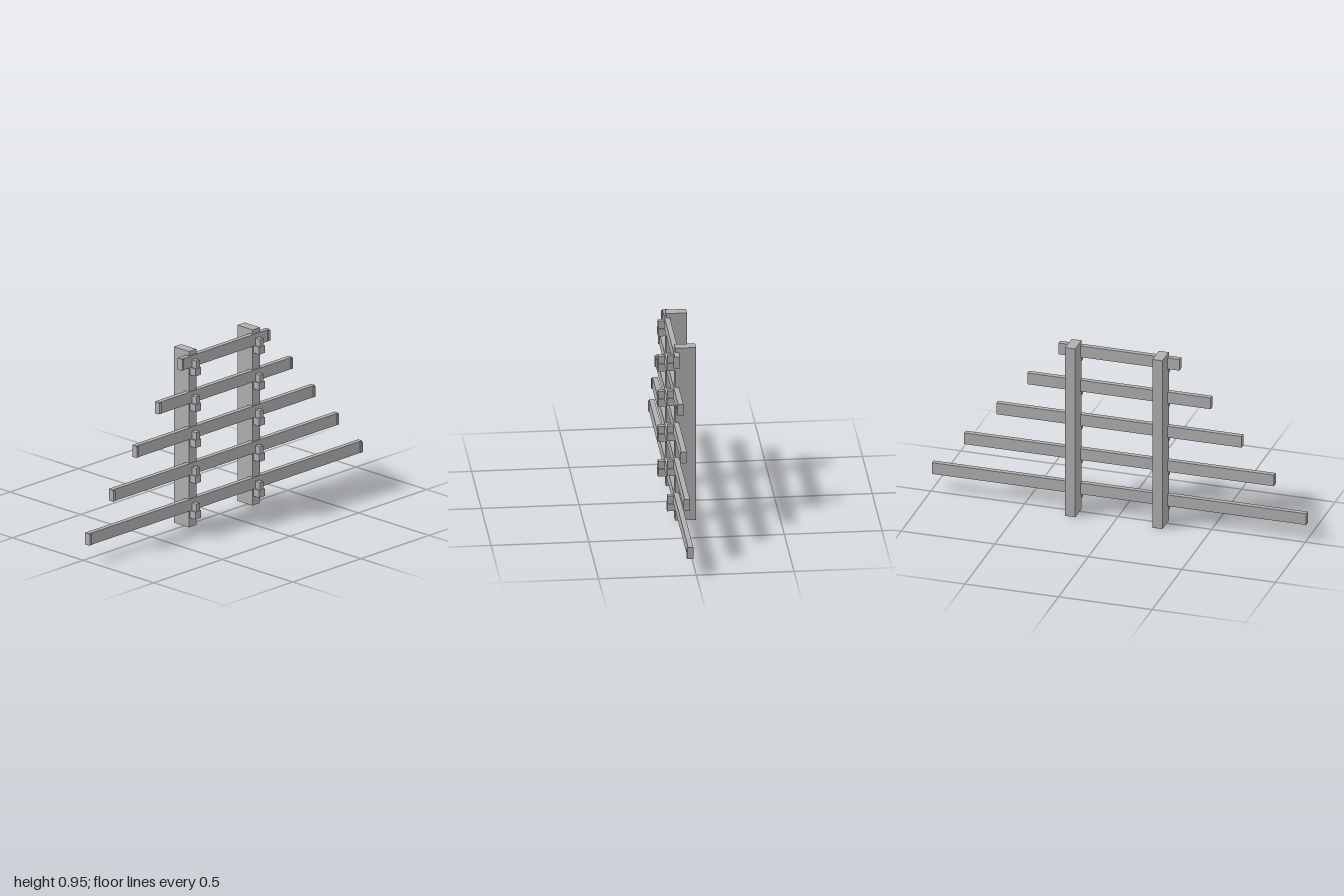
import * as THREE from 'three';

export function createModel() {
  const root = new THREE.Group();
  const grey = new THREE.MeshStandardMaterial({ color: 0xb0b0b0 });
  grey.name = 'plain grey';

  // Box given by its minimum and maximum on each axis
  const box = (name, x0, x1, y0, y1, z0, z1) => {
    const mesh = new THREE.Mesh(new THREE.BoxGeometry(x1 - x0, y1 - y0, z1 - z0), grey);
    mesh.position.set((x0 + x1) / 2, (y0 + y1) / 2, (z0 + z1) / 2);
    mesh.name = name;
    root.add(mesh);
    return mesh;
  };

  const postX = 0.233;
  const halfLengths = [1, 0.827, 0.655, 0.49, 0.323];

  // Two uprights
  for (const side of [-1, 1]) {
    const x = side * postX;
    box('post', x - 0.027, x + 0.027, 0, 0.948, -0.073, 0.035);
  }

  // Crossbars, shorter towards the top
  halfLengths.forEach((half, i) => {
    const y = 0.09 + i * 0.193;
    box('crossbar', -half, half, y, y + 0.063, 0.015, 0.042);

    for (const side of [-1, 1]) {
      // Raised lip at each bar end
      const end = side * (half - 0.007);
      box('endLip', end - 0.007, end + 0.007, y + 0.002, y + 0.058, 0.04, 0.048);

      // Bracket: a block under the bar with a narrow tongue in front of it
      const x = side * postX;
      box('bracketBase', x - 0.021, x + 0.021, y - 0.04, y, 0.035, 0.075);
      box('bracketTongue', x - 0.013, x + 0.013, y, y + 0.04, 0.04, 0.073);
    }
  });

  return root;
}
